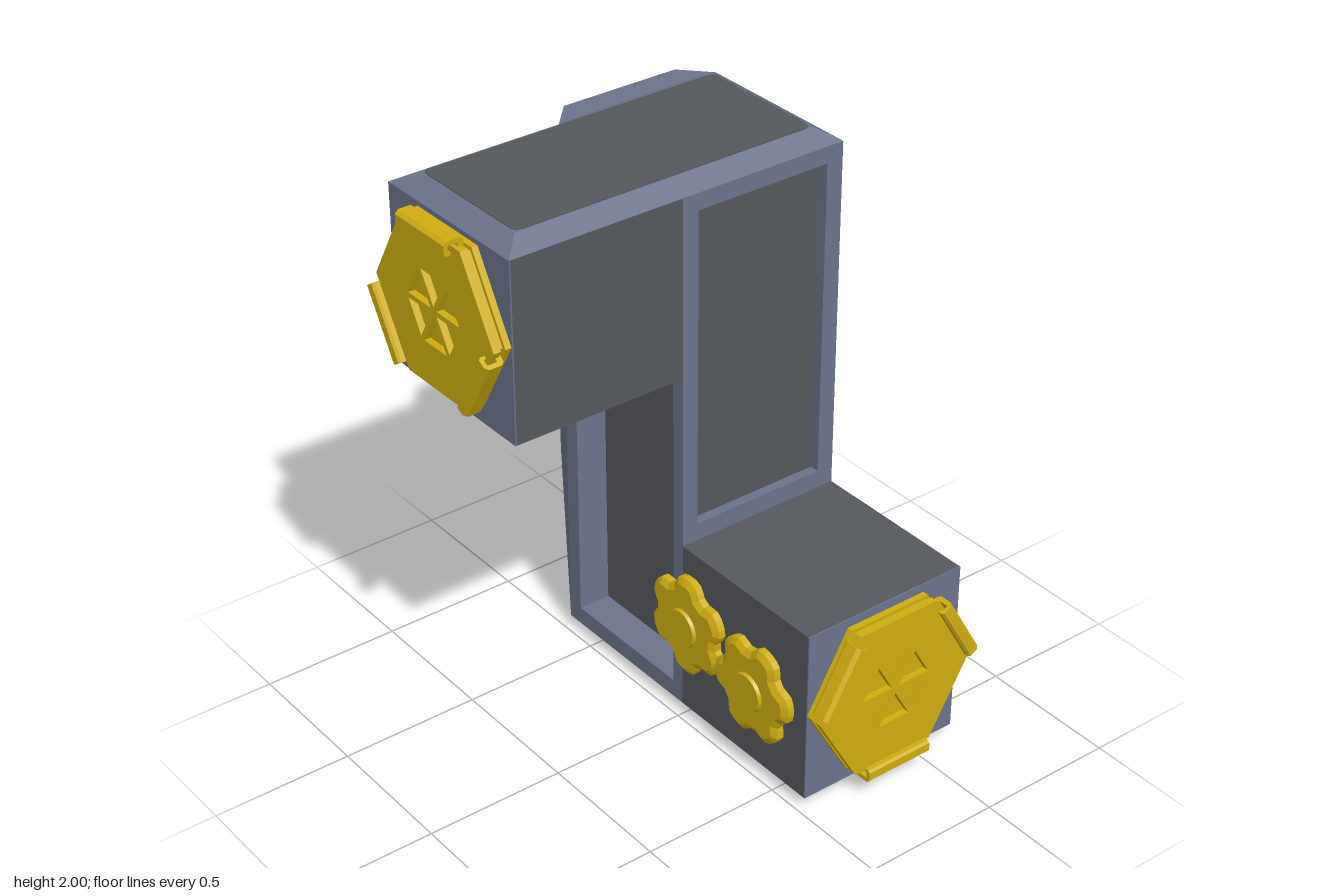
import * as THREE from 'three';

const frameBlue = new THREE.MeshStandardMaterial({ name: 'slate blue', color: 0x6b728b });
const panelGrey = new THREE.MeshStandardMaterial({ name: 'panel grey', color: 0x55585c });
const gold = new THREE.MeshStandardMaterial({ name: 'gold', color: 0xcfae10 });

function add(parent, name, geometry, material) {
  const mesh = new THREE.Mesh(geometry, material);
  mesh.name = name;
  parent.add(mesh);
  return mesh;
}

// Box given by its limits on each axis
function block([x0, x1], [y0, y1], [z0, z1]) {
  return new THREE.BoxGeometry(x1 - x0, y1 - y0, z1 - z0)
    .translate((x0 + x1) / 2, (y0 + y1) / 2, (z0 + z1) / 2);
}

// Bevelled cap: a box whose face at yIn is narrowed to the inner limits
function cap(x, y, z, yIn, xi, zi) {
  const g = block(x, y, z).toNonIndexed();
  const p = g.attributes.position;
  for (let i = 0; i < p.count; i++) {
    if (Math.abs(p.getY(i) - yIn) > 0.01) continue;
    p.setX(i, p.getX(i) < (x[0] + x[1]) / 2 ? xi[0] : xi[1]);
    p.setZ(i, p.getZ(i) < (z[0] + z[1]) / 2 ? zi[0] : zi[1]);
  }
  g.computeVertexNormals();
  return g;
}

function polygon(points, Type = THREE.Shape) {
  return new Type(points.map(([x, y]) => new THREE.Vector2(x, y)));
}

const rect = ([a0, a1], [b0, b1]) => [[a0, b0], [a1, b0], [a1, b1], [a0, b1]];
const polar = (r, deg) => [r * Math.cos(deg * Math.PI / 180), r * Math.sin(deg * Math.PI / 180)];
const extrude = (shape, depth, options = {}) =>
  new THREE.ExtrudeGeometry(shape, { depth, bevelEnabled: false, curveSegments: 6, ...options });

// Rectangular frame with a window opening
function windowFrame(a, b, holeA, holeB, depth) {
  const s = polygon(rect(a, b));
  s.holes.push(polygon(rect(holeA, holeB), THREE.Path));
  return extrude(s, depth);
}

// Thin rounded plate lying flat
function flatPanel([x0, x1], [z0, z1], y, thickness) {
  const r = 0.03, a = -z1, b = -z0;
  const s = new THREE.Shape();
  s.moveTo(x0 + r, a).lineTo(x1 - r, a).quadraticCurveTo(x1, a, x1, a + r);
  s.lineTo(x1, b - r).quadraticCurveTo(x1, b, x1 - r, b);
  s.lineTo(x0 + r, b).quadraticCurveTo(x0, b, x0, b - r);
  s.lineTo(x0, a + r).quadraticCurveTo(x0, a, x0 + r, a);
  return extrude(s, thickness).rotateX(-Math.PI / 2).translate(0, y, 0);
}

// Faceted back housing: rings running outwards, then into the recess
function backHousing() {
  const cx = 0.3375;
  const ring = (end, mid, y0, y1, z) => {
    const ys = [y0, 0.68, 1.32, y1], ws = [end, mid, mid, end];
    const side = ys.map((y, i) => [cx - ws[i], y, z]);
    return [...side, ...side.map(([x, y]) => [2 * cx - x, y, z]).reverse()];
  };
  const rings = [
    ring(0.3175, 0.3175, 0.045, 1.955, -0.64),
    ring(0.225, 0.272, 0.045, 1.955, -0.74),
    ring(0.12, 0.17, 0.15, 1.85, -0.74),
    ring(0.12, 0.17, 0.15, 1.85, -0.6),
  ];
  const v = [];
  for (let k = 0; k < 3; k++) {
    for (let i = 0; i < 8; i++) {
      const j = (i + 1) % 8, a = rings[k], b = rings[k + 1];
      v.push(...a[i], ...a[j], ...b[j], ...a[i], ...b[j], ...b[i]);
    }
  }
  const floor = rings[3];
  for (let i = 1; i < 7; i++) v.push(...floor[0], ...floor[i], ...floor[i + 1]);
  const g = new THREE.BufferGeometry();
  g.setAttribute('position', new THREE.Float32BufferAttribute(v, 3));
  g.computeVertexNormals();
  return g;
}

// Hexagonal coupling facing +z, with six wedge recesses and three hooks
function coupling(name) {
  const group = new THREE.Group();
  group.name = name;
  const hex = r => polygon([0, 1, 2, 3, 4, 5].map(k => polar(r, k * 60)));
  add(group, 'couplingBase', extrude(hex(0.318), 0.022), gold);
  add(group, 'couplingGroove', extrude(hex(0.304), 0.02).translate(0, 0, 0.02), gold);
  const face = hex(0.318);
  for (let k = 0; k < 6; k++) {
    const m = 30 + 60 * k, [ox, oy] = polar(0.018, m);
    const wedge = [[0, 0], polar(0.123, m - 30), polar(0.123, m + 30)];
    face.holes.push(polygon(wedge.map(([x, y]) => [x + ox, y + oy]), THREE.Path));
  }
  add(group, 'couplingFace', extrude(face, 0.026).translate(0, 0, 0.038), gold);
  // Hook section: outward distance, height
  const hook = polygon([[0.24, 0.03], [0.292, 0.03], [0.304, 0.042], [0.304, 0.088], [0.292, 0.1],
    [0.262, 0.1], [0.255, 0.092], [0.255, 0.076], [0.265, 0.076], [0.268, 0.086],
    [0.288, 0.086], [0.288, 0.05], [0.24, 0.05]]);
  for (const deg of [-90, 30, 150]) {
    add(group, 'hook', extrude(hook, 0.26).translate(0, 0, -0.13)
      .rotateX(Math.PI / 2).rotateZ(deg * Math.PI / 180), gold);
  }
  return group;
}

// Six-lobed knob facing +z
function knob(name) {
  const group = new THREE.Group();
  group.name = name;
  const pts = [];
  for (let i = 0; i < 72; i++) {
    const wave = Math.cos(i * 30 * Math.PI / 180);
    pts.push(polar(0.148 + 0.021 * Math.max(-0.8, Math.min(0.8, wave * 1.3)), i * 5));
  }
  add(group, 'knobBody', extrude(polygon(pts), 0.025,
    { bevelEnabled: true, bevelSize: 0.022, bevelThickness: 0.014, bevelSegments: 1 }).translate(0, 0, 0.014), gold);
  add(group, 'knobHub', new THREE.CylinderGeometry(0.066, 0.076, 0.03, 28)
    .rotateX(Math.PI / 2).translate(0, 0, 0.05), gold);
  return group;
}

export function createModel() {
  const model = new THREE.Group();
  model.name = 'modularBlock';
  const X = [0.02, 0.655], Y = [0.045, 1.955];

  // Column: sunken grey core behind window frames
  add(model, 'columnCore', block([0.14, 0.535], [0.05, 1.95], [-0.58, -0.04]), panelGrey);
  add(model, 'frontPanel', block([0.07, 0.6], [0.7, 1.93], [-0.05, -0.035]), panelGrey);
  add(model, 'frontFrame', windowFrame(X, Y, [0.08, 0.592], [0.75, 1.895], 0.04).translate(0, 0, -0.04), frameBlue);
  for (const [name, x, top] of [['rightSideFrame', 0.02, 1.28], ['leftSideFrame', 0.535, 1.89]]) {
    add(model, name, windowFrame([0.04, 0.64], Y, [0.05, 0.58], [0.11, top], 0.12)
      .rotateY(Math.PI / 2).translate(x, 0, 0), frameBlue);
  }
  add(model, 'backHousing', backHousing(), frameBlue);

  // Upper arm and lower foot
  add(model, 'arm', block([-0.615, 0.02], [1.32, 1.955], [-0.64, 0]), panelGrey);
  add(model, 'armEnd', block([-0.62, -0.615], [1.32, 1.955], [-0.64, 0]), frameBlue);
  add(model, 'foot', block(X, [0.045, 0.685], [0, 0.635]), panelGrey);
  add(model, 'footEnd', block(X, [0.045, 0.685], [0.635, 0.64]), frameBlue);

  // Bevelled top and bottom caps with inset panels
  add(model, 'topCap', cap([-0.62, 0.655], [1.955, 1.997], [-0.64, 0], 1.997, [-0.55, 0.587], [-0.568, -0.068]), frameBlue);
  add(model, 'topPanel', flatPanel([-0.546, 0.583], [-0.564, -0.072], 1.996, 0.004), panelGrey);
  add(model, 'bottomCap', cap(X, [0.003, 0.045], [-0.64, 0.64], 0.003, [0.115, 0.56], [-0.568, 0.568]), frameBlue);
  add(model, 'bottomPanel', flatPanel([0.12, 0.555], [-0.564, 0.564], 0, 0.004), panelGrey);

  // Couplings on the foot and arm ends
  const footCoupling = coupling('footCoupling');
  footCoupling.position.set(0.3375, 0.38, 0.64);
  const armCoupling = coupling('armCoupling');
  armCoupling.position.set(-0.62, 1.663, -0.32);
  armCoupling.rotation.set(0, -Math.PI / 2, Math.PI);
  model.add(footCoupling, armCoupling);

  // Knobs: one on the left side, a meshing pair on the right
  for (const [name, x, y, z, dir, spin] of [
    ['leftKnob', 0.655, 0.345, 0.39, 1, 0],
    ['rightFrontKnob', 0.035, 0.345, 0.39, -1, 0.1],
    ['rightRearKnob', 0.035, 0.405, 0.05, -1, 0.5],
  ]) {
    const k = knob(name);
    k.position.set(x, y, z);
    k.rotation.set(0, dir * Math.PI / 2, spin);
    model.add(k);
  }
  return model;
}
